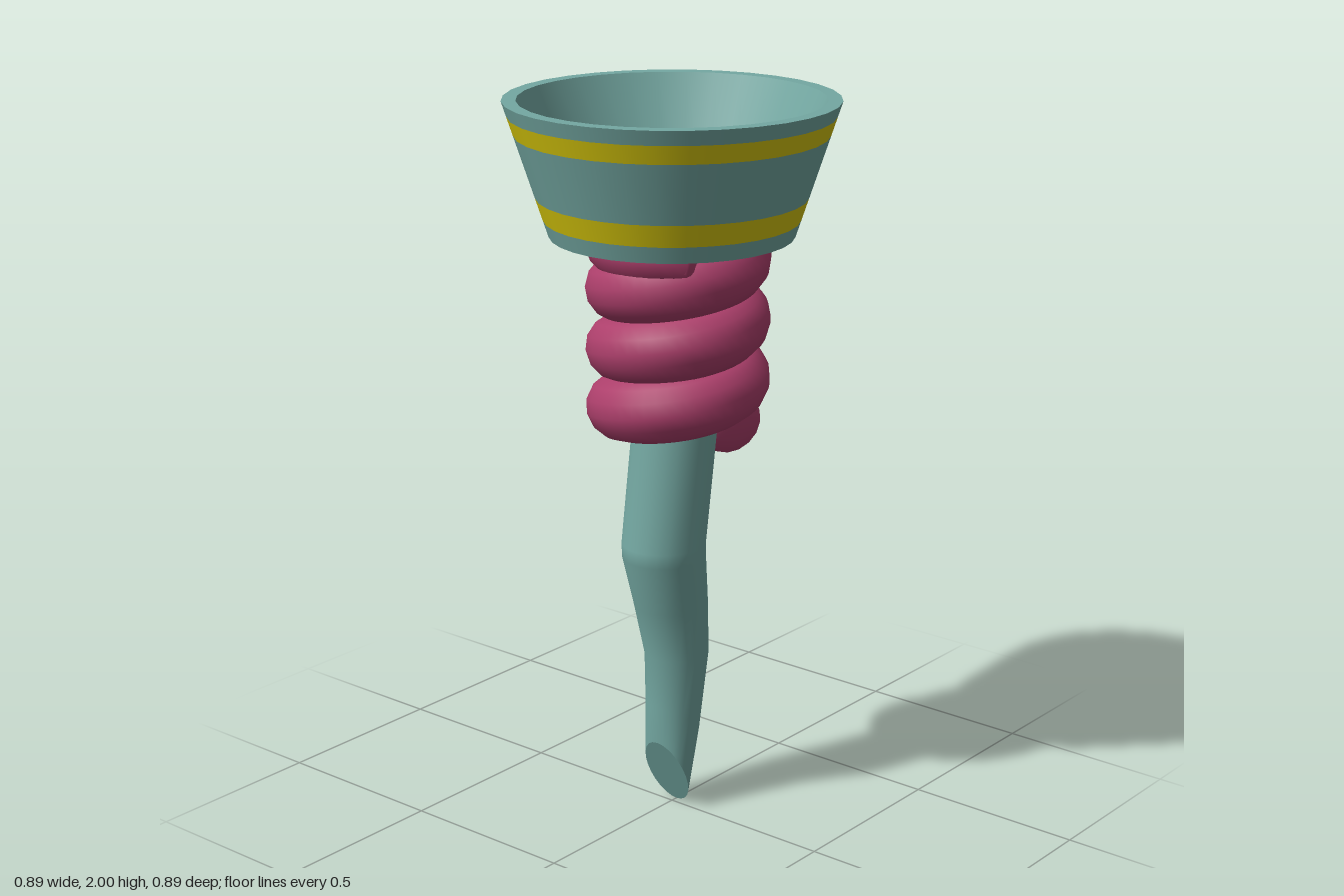
import * as THREE from 'three';
import { mergeGeometries } from 'three/addons/utils/BufferGeometryUtils.js';

const teal = new THREE.MeshStandardMaterial({ color: 0x74a8a2 });
const yellow = new THREE.MeshStandardMaterial({ color: 0xd6c60c });
const pink = new THREE.MeshStandardMaterial({ color: 0xac3f6b });

function mesh(name, geometry, material) {
  const m = new THREE.Mesh(geometry, material);
  m.name = name;
  return m;
}

// One straight lathe strip, so every rim of the cup stays sharp
function strip(r0, y0, r1, y1) {
  return new THREE.LatheGeometry([new THREE.Vector2(r0, y0), new THREE.Vector2(r1, y1)], 32);
}

// Radius of the cup's outer wall at a height
const wall = (y) => 0.325 + (y - 1.64) * (0.118 / 0.36);
const outer = (y0, y1) => strip(wall(y0), y0, wall(y1), y1);

// Bent leg: oval rings joined in a loop, the lowest ring tilted for the slanted cut
function legGeometry() {
  const rings = [ // y, z, rx, rz, tilt in y
    [0.1, 0.0225, 0.07, 0.0425, 0.1],
    [0.26, -0.002, 0.077, 0.073, 0.05],
    [0.45, -0.02, 0.089, 0.09, 0],
    [0.6, 0.004, 0.101, 0.104, 0],
    [0.75, 0.034, 0.114, 0.116, 0],
    [0.79, 0.035, 0.115, 0.117, 0],
    [1.1, -0.01, 0.117, 0.115, 0],
    [1.62, -0.05, 0.117, 0.115, 0],
  ];
  const n = 24, pos = [], idx = [];
  for (const [y, z, rx, rz, tilt] of rings) {
    for (let i = 0; i < n; i++) {
      const a = (i / n) * Math.PI * 2;
      pos.push(rx * Math.cos(a), y + tilt * Math.sin(a), z + rz * Math.sin(a));
    }
  }
  for (let r = 0; r < rings.length - 1; r++) {
    for (let i = 0; i < n; i++) {
      const a = r * n + i, b = r * n + (i + 1) % n;
      idx.push(a, a + n, b, b, a + n, b + n);
    }
  }
  // Cut face with its own vertices for a hard edge
  const base = pos.length / 3;
  pos.push(...pos.slice(0, n * 3));
  for (let i = 1; i < n - 1; i++) idx.push(base, base + i, base + i + 1);
  const g = new THREE.BufferGeometry();
  g.setAttribute('position', new THREE.Float32BufferAttribute(pos, 3));
  g.setIndex(idx);
  g.computeVertexNormals();
  return g;
}

// Rising coil wrapped around the top of the leg
class Coil extends THREE.Curve {
  getPoint(u, target = new THREE.Vector3()) {
    const t = THREE.MathUtils.lerp(-Math.PI / 2 - 0.45, Math.PI * 6.75, u);
    const y = Math.min(1.147 + 0.164 * t / (Math.PI * 2), 1.62);
    return target.set(-0.158 * Math.cos(t), y, -0.025 + 0.158 * Math.sin(t));
  }
}

export function createModel() {
  const model = new THREE.Group();

  // Cup: underside, wall between the bands, rim, inside and floor
  model.add(mesh('cup', mergeGeometries([
    strip(0, 1.64, 0.325, 1.64),
    outer(1.64, 1.685),
    outer(1.745, 1.91),
    outer(1.96, 2),
    strip(0.443, 2, 0.405, 2),
    strip(0.405, 2, 0.28, 1.72),
    strip(0.28, 1.72, 0, 1.72),
  ]), teal));

  // Painted bands
  model.add(mesh('lowerBand', outer(1.685, 1.745), yellow));
  model.add(mesh('upperBand', outer(1.91, 1.96), yellow));

  // Coil with rounded ends
  const path = new Coil(), radius = 0.09;
  const coil = new THREE.Group();
  coil.name = 'coil';
  coil.add(mesh('coilTube', new THREE.TubeGeometry(path, 160, radius, 14), pink));
  for (const u of [0, 1]) {
    const end = mesh('coilEnd', new THREE.SphereGeometry(radius, 16, 12), pink);
    const dir = path.getTangent(u);
    end.position.copy(path.getPoint(u));
    end.quaternion.setFromUnitVectors(new THREE.Vector3(0, 1, 0), dir);
    end.scale.y = 0.4;
    coil.add(end);
  }
  model.add(coil);

  model.add(mesh('leg', legGeometry(), teal));
  return model;
}
